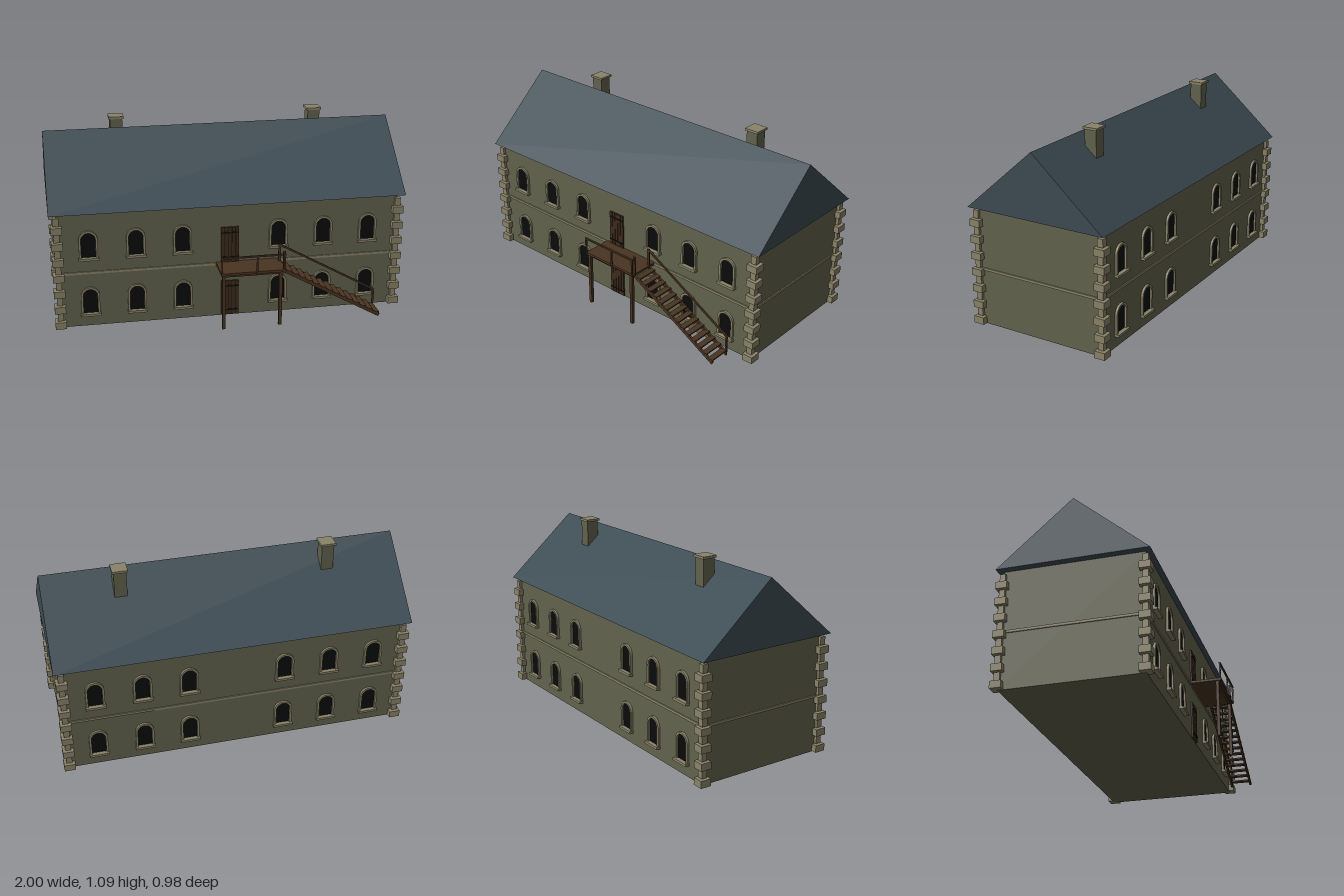
import * as THREE from 'three';

const mat = (name, color) => {
  const m = new THREE.MeshStandardMaterial({ color });
  m.name = name;
  return m;
};

export function createModel() {
  const wall = mat('wall plaster', 0x62624e);
  const stone = mat('pale stone', 0x8a8369);
  const slate = mat('slate', 0x3d4b53);
  const wood = mat('stair wood', 0x4a3422);
  const doorWood = mat('door wood', 0x3d2b1c);
  const iron = mat('iron', 0x16130f);
  const glass = mat('dark glass', 0x0a0b0c);

  const house = new THREE.Group();
  house.name = 'house';
  const add = (parent, name, geo, m, x = 0, y = 0, z = 0) => {
    const mesh = new THREE.Mesh(geo, m);
    mesh.name = name;
    mesh.position.set(x, y, z);
    parent.add(mesh);
    return mesh;
  };
  // box given by its centre and size
  const box = (parent, name, m, x, y, z, w, h, d) =>
    add(parent, name, new THREE.BoxGeometry(w, h, d), m, x, y, z);
  const group = (name, parent = house) => {
    const g = new THREE.Group();
    g.name = name;
    parent.add(g);
    return g;
  };

  // Walls and belt course
  const zMid = -0.073, halfX = 0.96, halfZ = 0.383;
  const front = zMid + halfZ;
  box(house, 'walls', wall, 0, 0.345, zMid, halfX * 2, 0.67, halfZ * 2);
  box(house, 'beltCourse', stone, 0, 0.328, zMid, halfX * 2 + 0.012, 0.014, halfZ * 2 + 0.012);

  // Gabled roof
  const gable = new THREE.Shape();
  gable.moveTo(-0.342, 0.677);
  gable.lineTo(0.488, 0.677);
  gable.lineTo(-zMid, 1.04);
  gable.closePath();
  const roof = new THREE.ExtrudeGeometry(gable, { depth: 2, bevelEnabled: false });
  roof.translate(0, 0, -1).rotateY(Math.PI / 2);
  add(house, 'roof', roof, slate);

  // Corner quoins, alternating large and small
  const quoins = group('quoins');
  for (const sx of [-1, 1]) for (const sz of [-1, 1]) {
    const x = sx * halfX, z = zMid + sz * halfZ;
    for (let i = 0; i < 7; i++) {
      const y = 0.032 + i * 0.0928;
      box(quoins, 'largeQuoin', stone, x, y, z, 0.062, 0.04, 0.062);
      box(quoins, 'smallQuoin', stone, x, y + 0.0464, z, 0.032, i === 6 ? 0.045 : 0.046, 0.032);
    }
  }

  // Chimneys
  for (const x of [-0.581, 0.579]) {
    const chimney = group('chimney');
    box(chimney, 'chimneyShaft', wall, x, 0.96, -0.17, 0.07, 0.23, 0.07);
    box(chimney, 'chimneyCap', stone, x, 1.08, -0.17, 0.086, 0.013, 0.086);
  }

  // Arched windows on the front and back walls
  const arch = (Type, r, bottom, spring) => {
    const s = new Type();
    s.moveTo(-r, bottom);
    s.lineTo(r, bottom);
    s.lineTo(r, spring);
    s.absarc(0, spring, r, 0, Math.PI, false);
    s.closePath();
    return s;
  };
  const pane = new THREE.ShapeGeometry(arch(THREE.Shape, 0.041, 0, 0.104), 10);
  const trimShape = arch(THREE.Shape, 0.052, -0.004, 0.104);
  trimShape.holes.push(arch(THREE.Path, 0.04, 0, 0.104));
  const trim = new THREE.ExtrudeGeometry(trimShape, { depth: 0.013, bevelEnabled: false, curveSegments: 10 });
  for (const side of [1, -1]) {
    for (const y of [0.087, 0.418]) for (const x of [-0.792, -0.532, -0.273, 0.27, 0.529, 0.789]) {
      const win = group('window');
      add(win, 'windowPane', pane, glass, 0, 0, 0.002);
      add(win, 'windowTrim', trim, stone);
      box(win, 'windowSill', stone, 0, -0.006, 0.0125, 0.112, 0.014, 0.025);
      win.position.set(x, y, zMid + side * halfZ);
      if (side < 0) win.rotation.y = Math.PI;
    }
  }

  // Plank doors, one on each floor
  for (const y of [0.014, 0.336]) {
    const door = group('door');
    door.position.set(-0.006, y, front);
    box(door, 'doorBacking', iron, 0, 0.104, 0.001, 0.1, 0.206, 0.004);
    for (let i = 0; i < 5; i++)
      box(door, 'doorPlank', doorWood, (i - 2) * 0.0206, 0.104, 0.004, 0.0178, 0.208, 0.009);
    for (const by of [0.03, 0.176])
      box(door, 'doorBand', iron, 0, by, 0.0095, 0.1, 0.008, 0.004);
  }

  // Landing with legs and front railing
  const stairs = group('outsideStairs');
  const near = 0.468, far = 0.353;
  box(stairs, 'landingDeck', wood, 0.096, 0.33, 0.3975, 0.364, 0.014, 0.175);
  box(stairs, 'landingBeam', wood, 0.096, 0.317, near, 0.34, 0.012, 0.014);
  for (const x of [-0.07, 0.25]) box(stairs, 'landingLeg', wood, x, 0.162, near, 0.018, 0.324, 0.018);
  for (const x of [-0.082, 0.115, 0.268])
    box(stairs, 'railPost', wood, x, 0.378, 0.486, 0.009, 0.11, 0.008);
  box(stairs, 'landingRail', wood, 0.094, 0.428, 0.486, 0.362, 0.009, 0.01);

  // Flight of stairs
  const top = new THREE.Vector2(0.275, 0.325), foot = new THREE.Vector2(0.83, 0.012);
  const length = top.distanceTo(foot);
  const angle = Math.atan2(foot.y - top.y, foot.x - top.x);
  const sloped = (name, y, z, h, d) => {
    const m = box(stairs, name, wood, (top.x + foot.x) / 2, (top.y + foot.y) / 2 + y, z, length, h, d);
    m.rotation.z = angle;
  };
  for (const z of [near, far]) {
    sloped('stringer', -0.002, z, 0.018, 0.012);
    box(stairs, 'newelPost', wood, 0.27, 0.382, z, 0.014, 0.116, 0.009);
  }
  const steps = 14;
  for (let i = 0; i < steps; i++) {
    const t = (i + 0.6) / steps;
    box(stairs, 'tread', wood, top.x + (foot.x - top.x) * t, top.y + (foot.y - top.y) * t + 0.006,
      (near + far) / 2, 0.034, 0.008, 0.126);
  }
  sloped('handrail', 0.107, far, 0.01, 0.009);
  box(stairs, 'footPost', wood, 0.829, 0.058, far, 0.01, 0.116, 0.009);

  return house;
}
